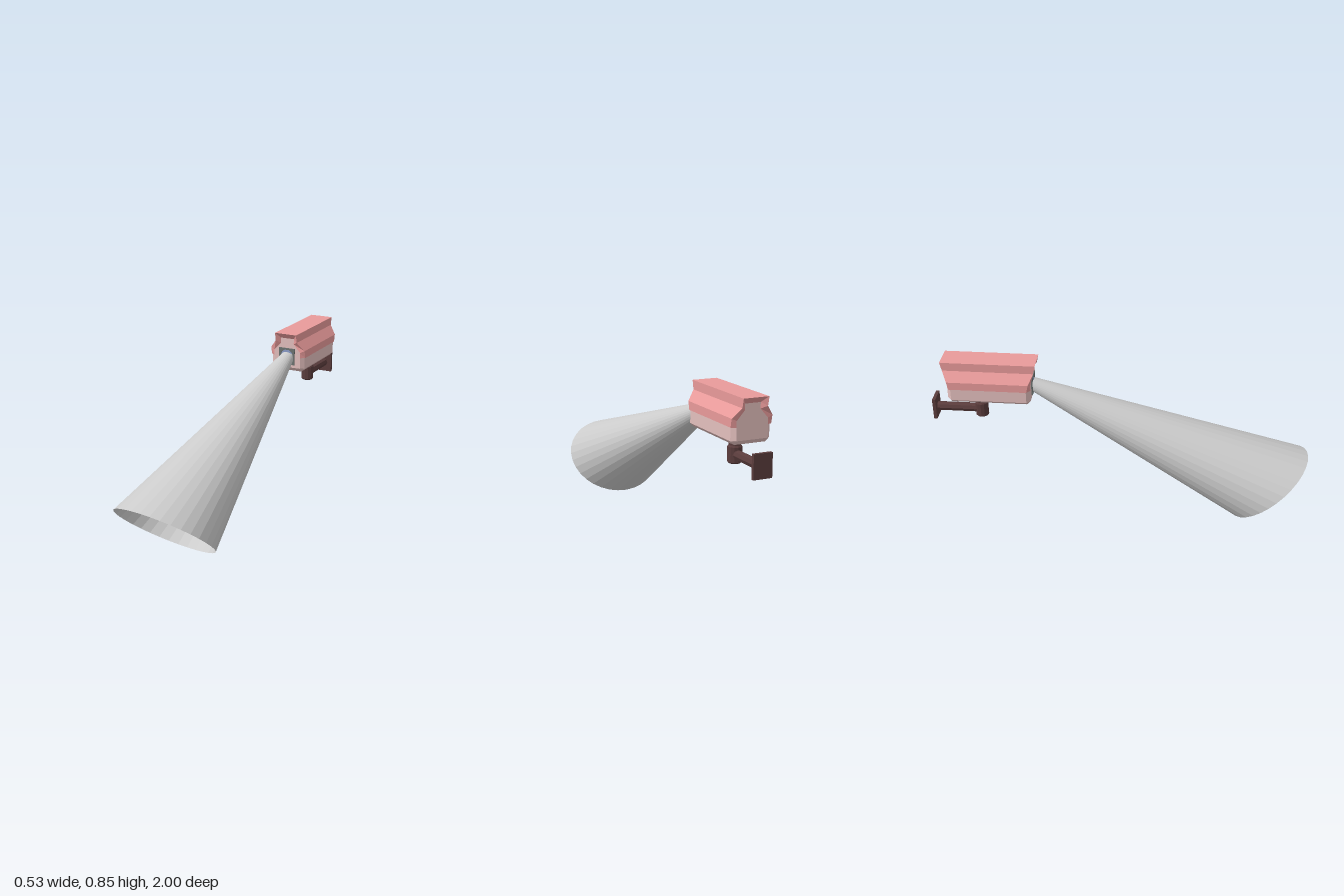
import * as THREE from 'three';

const CX = 0.018; // camera sits slightly off the centre line

const mat = (color, side = THREE.FrontSide) =>
  new THREE.MeshStandardMaterial({ color, side, flatShading: true });

// Skin between cross-sections (arrays of Vector3, counter-clockwise, back to front)
function loft(rings, { closed = true, caps = false } = {}) {
  const pos = [];
  const tri = (...pts) => pts.forEach(p => pos.push(p.x, p.y, p.z));
  const n = rings[0].length;
  for (let i = 0; i < rings.length - 1; i++) {
    for (let j = 0; j < (closed ? n : n - 1); j++) {
      const k = (j + 1) % n;
      const a = rings[i][j], b = rings[i][k], c = rings[i + 1][k], d = rings[i + 1][j];
      tri(a, b, c);
      tri(a, c, d);
    }
  }
  if (caps) {
    const first = rings[0], last = rings[rings.length - 1];
    const flat = r => r.map(p => new THREE.Vector2(p.x, p.y));
    THREE.ShapeUtils.triangulateShape(flat(last), []).forEach(([a, b, c]) => tri(last[a], last[b], last[c]));
    THREE.ShapeUtils.triangulateShape(flat(first), []).forEach(([a, b, c]) => tri(first[a], first[c], first[b]));
  }
  const g = new THREE.BufferGeometry();
  g.setAttribute('position', new THREE.Float32BufferAttribute(pos, 3));
  g.computeVertexNormals();
  return g;
}

// Right half of a profile [halfWidth, y] mirrored into a full section
function section(half, z) {
  const zs = half.map((_, i) => (Array.isArray(z) ? z[i] : z));
  const right = half.map(([x, y], i) => new THREE.Vector3(CX + x, y, zs[i]));
  const left = half.map(([x, y], i) => new THREE.Vector3(CX - x, y, zs[i])).reverse();
  return [...right, ...left];
}

export function createModel() {
  const model = new THREE.Group();
  model.name = 'securityCamera';
  const add = (name, geometry, material, x = 0, y = 0, z = 0, parent = model) => {
    const m = new THREE.Mesh(geometry, material);
    m.name = name;
    m.position.set(x, y, z);
    parent.add(m);
    return m;
  };

  const pink = mat(0xe89a9a, THREE.DoubleSide);
  const pale = mat(0xe3bfbd);
  const dark = mat(0x5a3c3c);
  const charcoal = mat(0x6c7270);

  // Housing with bevelled ends
  const outer = [[0.08, 0.637], [0.1, 0.656], [0.1, 0.755], [0.06, 0.805], [0.06, 0.845]];
  const inner = [[0.079, 0.658], [0.08, 0.66], [0.08, 0.75], [0.04, 0.795], [0.04, 0.825]];
  add('housing', loft([
    section(inner, -0.9), section(outer, -0.88), section(outer, -0.485), section(inner, -0.465),
  ], { caps: true }), pale);

  // Overhanging hood, its rims sloping in to the end faces of the housing
  const hood = [[0.104, 0.72], [0.104, 0.762], [0.065, 0.81], [0.065, 0.855]];
  const rim = [[0.08, 0.72], [0.08, 0.75], [0.04, 0.795], [0.04, 0.825]];
  add('hood', loft([
    section(rim, -0.9),
    section(hood, [-0.888, -0.897, -0.922, -0.932]),
    section(hood, [-0.482, -0.472, -0.448, -0.438]),
    section(rim, -0.464),
  ], { closed: false }), pink);

  // Square lens frame with a round opening
  const frame = new THREE.Shape();
  frame.moveTo(-0.047, -0.047).lineTo(0.047, -0.047).lineTo(0.047, 0.047).lineTo(-0.047, 0.047).closePath();
  frame.holes.push(new THREE.Path().absarc(0, 0, 0.04, 0, Math.PI * 2, true));
  add('lensFrame', new THREE.ExtrudeGeometry(frame, { depth: 0.022, bevelEnabled: false, curveSegments: 5 }),
    charcoal, CX, 0.722, -0.48);
  add('lensGlass', new THREE.CircleGeometry(0.041, 12), mat(0x8a9cc8), CX, 0.722, -0.4635);

  // Open field-of-view cone, cut obliquely at both ends
  const u = new THREE.Vector3(1, -0.04, 0.04);
  const v = new THREE.Vector3(0, 0.663, 0.748);
  const circle = (c, r) => Array.from({ length: 32 }, (_, i) => {
    const a = (i / 32) * Math.PI * 2;
    return c.clone().addScaledVector(u, r * Math.cos(a)).addScaledVector(v, r * Math.sin(a));
  });
  add('viewCone', loft([
    circle(new THREE.Vector3(0.02, 0.725, -0.48), 0.035),
    circle(new THREE.Vector3(0, 0.175, 0.803), 0.263),
  ]), mat(0xcccccc, THREE.DoubleSide));

  // Wall bracket
  const bracket = new THREE.Group();
  bracket.name = 'bracket';
  model.add(bracket);
  add('mountPad', new THREE.BoxGeometry(0.1, 0.014, 0.1), mat(0xa85a5a), CX, 0.632, -0.75, bracket);
  const postProfile = [[0, 0.513], [0.028, 0.513], [0.035, 0.52], [0.035, 0.592], [0.029, 0.6], [0.029, 0.63], [0, 0.63]];
  add('post', new THREE.LatheGeometry(postProfile.map(p => new THREE.Vector2(...p)), 12), dark, CX, 0, -0.745, bracket);
  add('arm', new THREE.CylinderGeometry(0.024, 0.024, 0.24, 8), dark, CX, 0.556, -0.867, bracket)
    .rotation.x = Math.PI / 2;
  add('wallPlate', new THREE.BoxGeometry(0.096, 0.118, 0.017), dark, CX, 0.56, -0.9915, bracket);

  return model;
}
